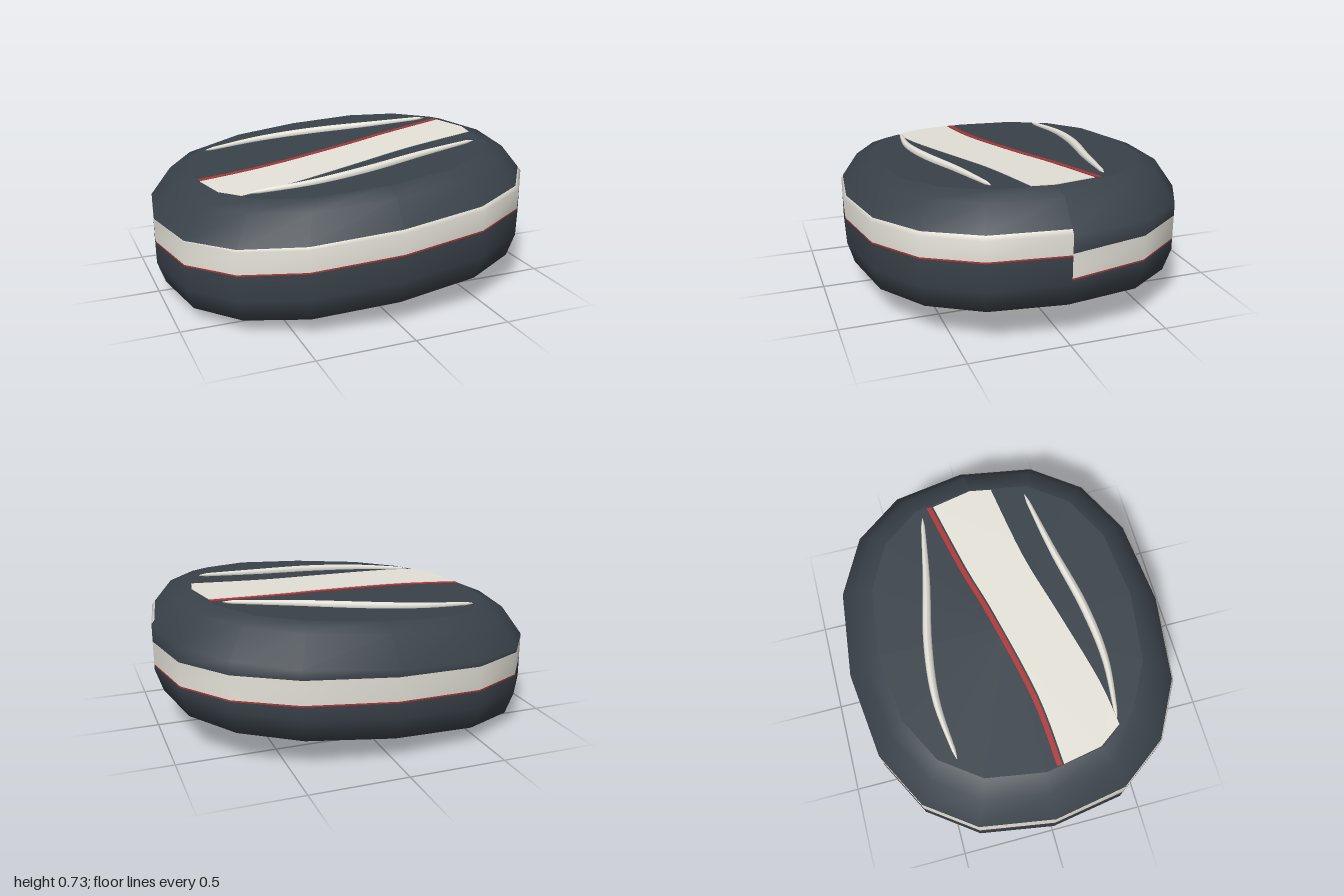
import * as THREE from 'three';

const SHEAR = 0.076, DEPTH = 0.86, SIDES = 16;
const TOP = 0.66, BOTTOM = 0.06;

const mat = (name, color) => {
  const m = new THREE.MeshStandardMaterial({ color });
  m.name = name;
  return m;
};

// Tilt a geometry by raising it with x
function shear(geo) {
  const p = geo.attributes.position;
  for (let i = 0; i < p.count; i++) p.setY(i, p.getY(i) + SHEAR * p.getX(i));
  geo.computeVertexNormals();
  return geo;
}

// Rounded drum with a slowly descending band that steps at its seam
function bodyGeometry() {
  const WALL = 0.48, pos = [], idx = [];
  const soft = (v) => Math.sign(v) * Math.pow(Math.abs(v), 0.82);
  const radius = (y) => (y > WALL ? 1 - 0.11 * (y - WALL) / 0.145 : 1);
  const column = (u) => {
    const b = 0.38 - 0.115 * Math.pow(u, 2.3), t = b + 0.122;
    const wall = [b - 0.008, b, Math.min(WALL, t), t, Math.max(WALL, t)];
    return [
      [0, BOTTOM], [0.79, BOTTOM], [0.79, BOTTOM], [0.96, 0.118], [1, 0.235],
      ...wall.map((y) => [radius(y), y]),
      [0.89, 0.625], [0.79, TOP], [0.79, TOP], [0, TOP],
    ];
  };
  const rows = column(0).length;
  for (let i = 0; i <= SIDES; i++) {
    const a = (i / SIDES) * Math.PI * 2;
    const x = soft(Math.abs(Math.cos(a)) < 1e-6 ? 0 : Math.cos(a));
    const z = DEPTH * soft(Math.abs(Math.sin(a)) < 1e-6 ? 0 : Math.sin(a));
    for (const [r, y] of column(i / SIDES)) pos.push(r * x, y, r * z);
  }
  const geo = new THREE.BufferGeometry();
  // Row 5 is the thin line, rows 6 and 7 the pale band
  for (let j = 0; j < rows - 1; j++) {
    geo.addGroup(idx.length, SIDES * 6, j === 5 ? 2 : j === 6 || j === 7 ? 1 : 0);
    for (let i = 0; i < SIDES; i++) {
      const a = i * rows + j, b = a + rows;
      idx.push(a, a + 1, b, b, a + 1, b + 1);
    }
  }
  geo.setAttribute('position', new THREE.Float32BufferAttribute(pos, 3));
  geo.setIndex(idx);
  shear(geo);
  // Smooth the shading across the seam
  const n = geo.attributes.normal, v = new THREE.Vector3();
  for (const c of [0, SIDES]) {
    for (let j = 0; j < rows; j++) {
      v.fromBufferAttribute(n, c * rows + j).setZ(0).normalize();
      n.setXYZ(c * rows + j, v.x, v.y, v.z);
    }
  }
  return geo;
}

const spline = (pts) =>
  new THREE.SplineCurve(pts.map(([x, z]) => new THREE.Vector2(x, -z))).getPoints(20);

// Thin plate from an outline in x and -z
function plate(outline, y) {
  const geo = new THREE.ExtrudeGeometry(new THREE.Shape(outline), { depth: 0.006, bevelEnabled: false });
  geo.rotateX(-Math.PI / 2).translate(0, y, 0);
  return shear(geo);
}

// Slim tapered ridge lying on the top
function ridgeGeometry(side) {
  const N = 28, R = 8;
  const curve = new THREE.CatmullRomCurve3(
    [[-0.615, 0.417], [-0.3, 0.448], [0, 0.42], [0.35, 0.345], [0.69, 0.285]]
      .map(([x, z]) => new THREE.Vector3(x, TOP + 0.006, z * side)));
  const geo = new THREE.TubeGeometry(curve, N, 1, R, false);
  const p = geo.attributes.position, v = new THREE.Vector3();
  for (let i = 0; i <= N; i++) {
    const t = i / N, c = curve.getPointAt(t);
    const r = i === 0 || i === N ? 0.002 : 0.009 + 0.014 * Math.sin(Math.PI * t);
    for (let j = 0; j <= R; j++) {
      const k = i * (R + 1) + j;
      v.fromBufferAttribute(p, k).sub(c).multiplyScalar(r).add(c);
      p.setXYZ(k, v.x, v.y, v.z);
    }
  }
  return shear(geo);
}

export function createModel() {
  const dark = mat('slate', 0x3a424a);
  const pale = mat('ivory', 0xe4e2d8);
  const red = mat('red', 0xb03535);
  const group = new THREE.Group();
  const add = (name, geo, material) => {
    const mesh = new THREE.Mesh(geo, material);
    mesh.name = name;
    group.add(mesh);
  };

  add('body', bodyGeometry(), [dark, pale, red]);

  // Wide stripe and thin red line on both caps
  const edge = [[-0.773, 0.058], [-0.4, 0.025], [0.085, -0.085], [0.35, -0.16], [0.742, -0.25]];
  const shifted = (d) => spline(edge.map(([x, z]) => [x, z + d]));
  const line = [...shifted(0), ...shifted(0.026).reverse()];
  const stripe = [
    ...shifted(0.036),
    new THREE.Vector2(0.785, 0),
    ...spline([[0.765, 0.115], [0.35, 0.185], [0, 0.28], [-0.4, 0.385], [-0.65, 0.42]]),
    new THREE.Vector2(-0.735, -0.3),
  ];
  for (const [cap, y] of [['top', TOP - 0.003], ['bottom', BOTTOM - 0.003]]) {
    add(cap + 'Stripe', plate(stripe, y), pale);
    add(cap + 'Line', plate(line, y), red);
  }

  add('frontRidge', ridgeGeometry(1), pale);
  add('backRidge', ridgeGeometry(-1), pale);
  return group;
}
